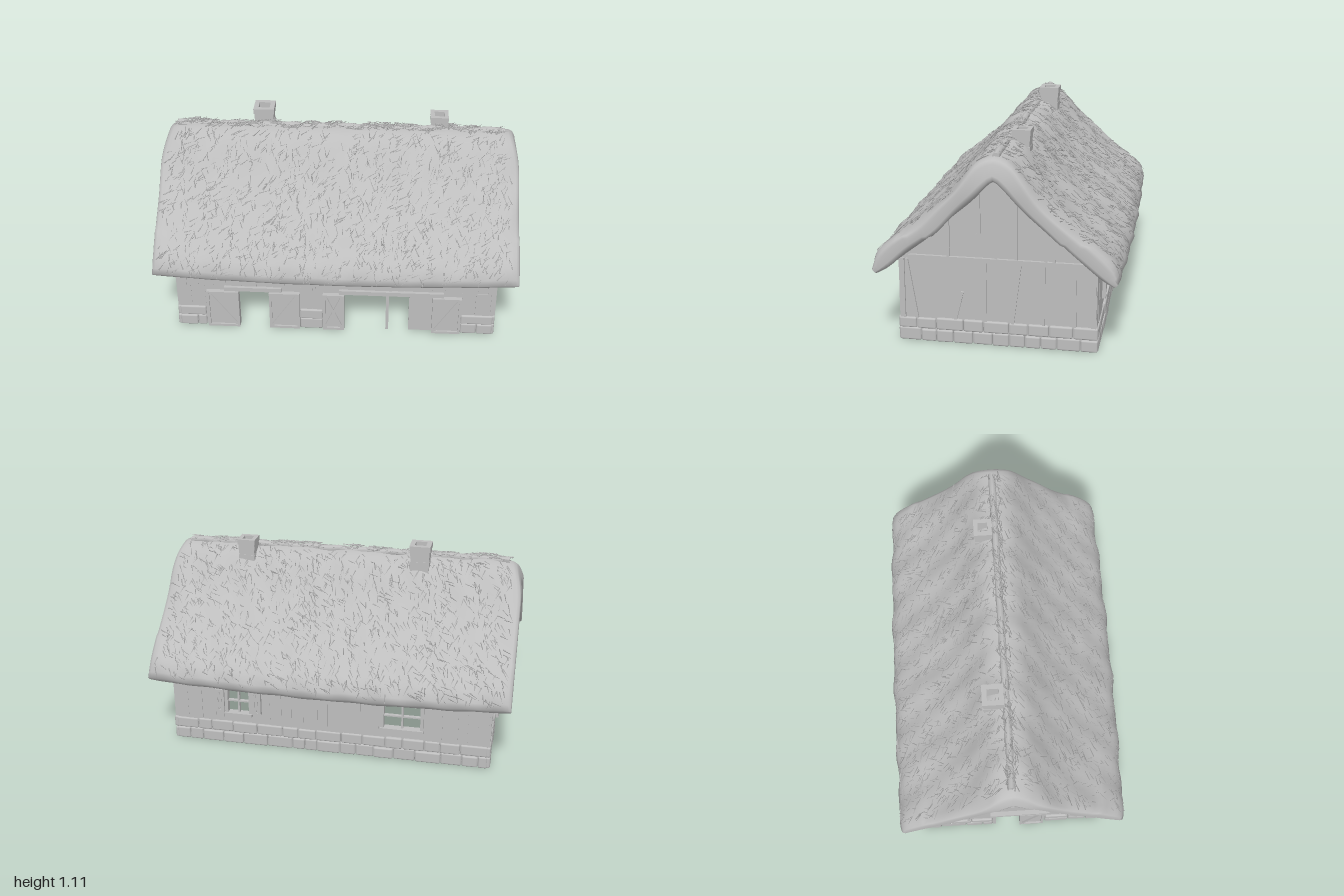
import * as THREE from 'three';
import { mergeGeometries } from 'three/addons/utils/BufferGeometryUtils.js';
import { RoundedBoxGeometry } from 'three/addons/geometries/RoundedBoxGeometry.js';

const plain = new THREE.MeshStandardMaterial({ name: 'plainGrey', color: 0xbebebe, side: THREE.DoubleSide });

let seed = 7;
const rnd = (a = 0, b = 1) => {
  seed = (seed * 16807) % 2147483647;
  return a + (b - a) * (seed / 2147483647);
};

function add(parent, name, geo, x = 0, y = 0, z = 0, rz = 0) {
  const m = new THREE.Mesh(geo, plain);
  m.name = name;
  m.position.set(x, y, z);
  m.rotation.z = rz;
  parent.add(m);
  return m;
}
// Box given by its x and y limits and its z limits
const slab = (p, name, x0, x1, y0, y1, z0, z1) =>
  add(p, name, new THREE.BoxGeometry(x1 - x0, y1 - y0, z1 - z0), (x0 + x1) / 2, (y0 + y1) / 2, (z0 + z1) / 2);
// Timber running between two points of a wall face
function strut(p, name, x0, y0, x1, y1, w = 0.014, z = 0.004, d = 0.012) {
  const len = Math.hypot(x1 - x0, y1 - y0);
  add(p, name, new THREE.BoxGeometry(len, w, d), (x0 + x1) / 2, (y0 + y1) / 2, z, Math.atan2(y1 - y0, x1 - x0));
}

// Wall face: x along the wall, z outward, outer surface at z = 0
function wall(root, name, outline, holes, x, z, ry) {
  const g = new THREE.Group();
  g.name = name;
  g.position.set(x, 0, z);
  g.rotation.y = ry;
  const shape = new THREE.Shape(outline.map(p => new THREE.Vector2(...p)));
  for (const [x0, x1, y0, y1] of holes)
    shape.holes.push(new THREE.Path([[x0, y0], [x0, y1], [x1, y1], [x1, y0]].map(p => new THREE.Vector2(...p))));
  add(g, name + 'Panel', new THREE.ExtrudeGeometry(shape, { depth: 0.02, bevelEnabled: false }), 0, 0, -0.02);
  root.add(g);
  return g;
}

// Two uneven courses of rounded stones
function stones(p, x0, x1) {
  const parts = [];
  for (const [y0, y1] of [[0.004, 0.072], [0.072, 0.135]]) {
    let x = x0;
    while (x < x1 - 0.001) {
      let w = rnd(0.07, 0.15);
      if (x + w > x1 - 0.05) w = x1 - x;
      const h = y1 - y0 + rnd(-0.005, 0.003);
      parts.push(new RoundedBoxGeometry(w - 0.003, h, 0.03, 2, 0.009)
        .translate(x + w / 2, y0 + h / 2, rnd(-0.005, 0)));
      x += w;
    }
  }
  add(p, 'stoneFooting', mergeGeometries(parts));
}

// Vertical boards of slightly different depth
function boards(p, x0, x1, y0, y1) {
  for (let x = x0; x < x1 - 0.01;) {
    const e = Math.min(x + rnd(0.05, 0.1), x1);
    slab(p, 'board', x + 0.002, e, y0, y1, -0.005, rnd(0.001, 0.006));
    x = e;
  }
}

// Framed leaf with one or two diagonal braces
function leaf(p, name, x0, x1, y0, y1, dir, z = 0.008) {
  const g = new THREE.Group();
  g.name = name;
  p.add(g);
  slab(g, 'leafPanel', x0, x1, y0, y1, z - 0.008, z + 0.008);
  const f = 0.014, a = z + 0.006, b = z + 0.018;
  slab(g, 'leafRail', x0, x1, y0, y0 + f, a, b);
  slab(g, 'leafRail', x0, x1, y1 - f, y1, a, b);
  slab(g, 'leafStile', x0, x0 + f, y0, y1, a, b);
  slab(g, 'leafStile', x1 - f, x1, y0, y1, a, b);
  if (dir !== -1) strut(g, 'leafBrace', x0 + f, y0 + f, x1 - f, y1 - f, f, z + 0.011);
  if (dir !== 1) strut(g, 'leafBrace', x0 + f, y1 - f, x1 - f, y0 + f, f, z + 0.011);
}

// Framed window with bars
function windowFrame(p, x0, x1, y0, y1) {
  const f = 0.018;
  slab(p, 'windowSill', x0 - f, x1 + f, y0 - f, y0, -0.02, 0.025);
  slab(p, 'windowLintel', x0 - f, x1 + f, y1, y1 + f, -0.02, 0.02);
  for (const x of [x0 - f, x1]) slab(p, 'windowJamb', x, x + f, y0, y1, -0.02, 0.015);
  slab(p, 'windowBar', (x0 + x1) / 2 - 0.005, (x0 + x1) / 2 + 0.005, y0, y1, -0.015, 0.005);
  slab(p, 'windowBar', x0, x1, (y0 + y1) / 2 - 0.004, (y0 + y1) / 2 + 0.004, -0.015, 0.005);
}

// Thatch cross-section curves, from the front eave over the ridge to the back eave
const arch = half => new THREE.CatmullRomCurve3([
  ...half.slice(1).reverse().map(([z, y]) => new THREE.Vector3(0, y, z)),
  ...half.map(([z, y]) => new THREE.Vector3(0, y, -z))]);
const outer = arch([[0, 1.025], [0.08, 1.0], [0.15, 0.93], [0.24, 0.825], [0.4, 0.675], [0.53, 0.57], [0.615, 0.485], [0.64, 0.415]]);
const inner = arch([[0, 0.9], [0.04, 0.875], [0.2, 0.72], [0.35, 0.575], [0.46, 0.485], [0.55, 0.415], [0.61, 0.385]]);

// Sag, taper at the ridge ends and lumps of the thatch
function shapeThatch(p) {
  const mid = 1 - p.x * p.x;
  const lump = 0.004 * Math.sin(p.x * 17 + p.y * 9) + 0.003 * Math.sin(p.x * 31 - p.y * 23 + p.z * 5);
  const ridge = Math.max(0, (p.y - 0.85) / 0.18);
  p.x *= 1 - 0.05 * ridge * ridge;
  p.z *= 0.975 + 0.03 * mid;
  p.z += Math.sign(p.z) * lump;
  p.y += lump + (p.y < 0.6 ? 0.012 - 0.018 * mid : 0);
  return p;
}

function thatchGeometry() {
  const N = 56, o = outer.getSpacedPoints(N), n = inner.getSpacedPoints(N);
  const ends = [[0.99, 0.6], [0.985, 0.32], [0.97, 0.14], [0.94, 0.03]];
  const rings = ends.map(([x, e]) => [-x, e]);
  for (let i = -22; i <= 22; i++) rings.push([i / 22 * 0.9, 0]);
  rings.push(...ends.slice().reverse());
  const pos = [], idx = [], M = 2 * (N + 1);
  for (const [x, e] of rings) {
    const out = [], inn = [];
    for (let j = 0; j <= N; j++) {
      const m = o[j].clone().lerp(n[j], 0.5);
      out.push(o[j].clone().lerp(m, e));
      inn.push(n[j].clone().lerp(m, e));
    }
    for (const p of [...out, ...inn.reverse()]) {
      p.x = x;
      pos.push(...shapeThatch(p).toArray());
    }
  }
  for (let i = 0; i < rings.length - 1; i++)
    for (let j = 0; j < M; j++) {
      const a = i * M + j, b = i * M + (j + 1) % M;
      idx.push(a, a + M, b, b, a + M, b + M);
    }
  const L = (rings.length - 1) * M;
  for (let j = 0; j < N; j++) {
    const a = j, b = j + 1, c = M - 1 - j, d = M - 2 - j;
    idx.push(a, b, c, b, d, c, L + a, L + c, L + b, L + b, L + c, L + d);
  }
  const g = new THREE.BufferGeometry();
  g.setAttribute('position', new THREE.Float32BufferAttribute(pos, 3));
  g.setIndex(idx);
  g.computeVertexNormals();
  return g;
}

// Loose straws lying along the slopes, and bristling on the ridge
function strawGeometry(count, v0, v1, xMax, tilt) {
  const parts = [], X = new THREE.Vector3(1, 0, 0);
  for (let i = 0; i < count; i++) {
    const v = rnd(v0, v1), p = outer.getPointAt(v), t = outer.getTangentAt(v);
    const normal = X.clone().cross(t), a = rnd(-0.9, 0.9) + tilt;
    const dir = t.clone().multiplyScalar(Math.cos(a)).addScaledVector(X, Math.sin(a)).addScaledVector(normal, 0.06);
    p.x = rnd(-xMax, xMax);
    shapeThatch(p).addScaledVector(normal, 0.001);
    const q = new THREE.Quaternion().setFromUnitVectors(new THREE.Vector3(0, 1, 0), dir.normalize());
    parts.push(new THREE.ConeGeometry(0.004, rnd(0.03, 0.07), 3, 1, true).applyQuaternion(q).translate(p.x, p.y, p.z));
  }
  return mergeGeometries(parts);
}

// Hollow chimney of brick courses with a wider cap
function chimney(root, x, z, w, top) {
  const g = new THREE.Group();
  g.name = 'chimney';
  root.add(g);
  const tube = (name, s, y0, y1) => {
    const sq = h => [[-h, -h], [h, -h], [h, h], [-h, h]].map(p => new THREE.Vector2(...p));
    const shape = new THREE.Shape(sq(s / 2));
    shape.holes.push(new THREE.Path(sq(w * 0.27)));
    const geo = new THREE.ExtrudeGeometry(shape, { depth: y1 - y0, bevelEnabled: false }).rotateX(-Math.PI / 2);
    add(g, name, geo, x, y0, z);
  };
  for (let i = 0; i < 6; i++) tube('chimneyCourse', w * (i % 2 ? 0.88 : 0.92), top - 0.03 - (i + 1) * 0.03, top - 0.03 - i * 0.03);
  tube('chimneyCap', w, top - 0.03, top);
}

export function createModel() {
  const root = new THREE.Group();
  root.name = 'thatchedBarn';

  // Front wall with a small and a wide doorway
  const front = wall(root, 'frontWall', [[-0.88, 0.01], [-0.54, 0.01], [-0.54, 0.25], [-0.37, 0.25], [-0.37, 0.01], [0.05, 0.01],
    [0.05, 0.255], [0.41, 0.255], [0.41, 0.01], [0.88, 0.01], [0.88, 0.47], [-0.88, 0.47]], [], 0, 0.51, 0);
  boards(front, -0.88, 0.88, 0.28, 0.46);
  for (const [a, b] of [[-0.88, -0.73], [-0.2, -0.07], [0.7, 0.88]]) {
    boards(front, a, b, 0.13, 0.28);
    stones(front, a, b);
  }
  leaf(front, 'doorLeaf', -0.72, -0.54, 0.01, 0.25, -1);
  leaf(front, 'doorLeaf', -0.37, -0.2, 0.01, 0.25, 1);
  leaf(front, 'doorLeaf', -0.07, 0.05, 0.01, 0.25, 0);
  leaf(front, 'doorLeaf', 0.54, 0.7, 0.01, 0.25, 1);
  slab(front, 'doorPost', 0.282, 0.298, 0.01, 0.26, -0.02, 0.004);
  slab(front, 'doorLintel', -0.62, -0.3, 0.255, 0.28, -0.02, 0.02);
  slab(front, 'doorLintel', 0.02, 0.6, 0.255, 0.28, -0.02, 0.02);

  // Back wall with two windows
  const back = wall(root, 'backWall', [[-0.88, 0.01], [0.88, 0.01], [0.88, 0.47], [-0.88, 0.47]],
    [[-0.57, -0.45, 0.2, 0.34], [0.31, 0.51, 0.2, 0.34]], 0, -0.51, Math.PI);
  stones(back, -0.88, 0.88);
  for (const [a, b] of [[-0.88, -0.6], [-0.42, 0.28], [0.54, 0.88]]) boards(back, a, b, 0.13, 0.46);
  windowFrame(back, -0.57, -0.45, 0.2, 0.34);
  windowFrame(back, 0.31, 0.51, 0.2, 0.34);
  leaf(back, 'shutter', -0.64, -0.59, 0.2, 0.34, 0, 0.004);
  leaf(back, 'shutter', -0.43, -0.38, 0.2, 0.34, 0, 0.004);

  // Gable ends
  const gable = [[0.51, 0.01], [0.51, 0.46], [0.05, 0.89], [-0.05, 0.89], [-0.51, 0.46], [-0.51, 0.01]];
  const right = wall(root, 'rightGable', gable, [], 0.88, 0, Math.PI / 2);
  const left = wall(root, 'leftGable', [...gable, [-0.09, 0.01], [-0.09, 0.27], [0.05, 0.27], [0.05, 0.01]], [], -0.88, 0, -Math.PI / 2);
  for (const g of [right, left]) {
    slab(g, 'tieBeam', -0.46, 0.46, 0.455, 0.48, -0.01, 0.015);
    strut(g, 'gableBrace', 0, 0.48, -0.1, 0.61);
    for (const [x, y0, y1] of [[-0.09, 0.61, 0.84], [0.1, 0.48, 0.83], [0.25, 0.48, 0.69], [0.29, 0.48, 0.65], [-0.25, 0.48, 0.69]])
      strut(g, 'gablePost', x, y0, x, y1, 0.016);
    for (const s of [-1, 1]) {
      strut(g, 'rafter', s * 0.03, 0.88, s * 0.47, 0.475, 0.018);
      strut(g, 'cornerPost', s * 0.495, 0.13, s * 0.495, 0.455, 0.025);
    }
  }
  stones(right, -0.52, 0.52);
  for (const x of [-0.06, 0.24, 0.4]) strut(right, 'wallPost', x, 0.13, x, 0.455);
  strut(right, 'wallBrace', 0.08, 0.13, 0.12, 0.455);
  strut(right, 'wallBrace', -0.42, 0.13, -0.47, 0.455);
  strut(right, 'wallBrace', -0.22, 0.13, -0.18, 0.29);
  stones(left, -0.52, -0.11);
  stones(left, 0.2, 0.52);
  leaf(left, 'sideDoorLeaf', 0.05, 0.19, 0.01, 0.27, 1);
  slab(left, 'sideDoorLintel', -0.12, 0.22, 0.275, 0.3, -0.02, 0.025);
  slab(left, 'sideDoorJamb', -0.11, -0.09, 0.01, 0.275, -0.02, 0.012);
  for (const x of [-0.4, -0.25, 0.36]) strut(left, 'wallPost', x, 0.13, x, 0.455);

  // Thatched roof
  add(root, 'thatch', thatchGeometry());
  add(root, 'looseStraw', strawGeometry(1500, 0.01, 0.47, 0.95, 0.4));
  add(root, 'looseStraw', strawGeometry(1500, 0.53, 0.99, 0.95, -0.4));
  const roll = new THREE.CylinderGeometry(0.02, 0.02, 1.82, 8, 40).rotateZ(Math.PI / 2);
  const rp = roll.attributes.position;
  for (let i = 0; i < rp.count; i++) rp.setY(i, rp.getY(i) + 0.004 * Math.sin(rp.getX(i) * 40));
  roll.computeVertexNormals();
  add(root, 'ridgeRoll', roll, 0, 1.022, -0.005);
  add(root, 'ridgeStraw', strawGeometry(400, 0.48, 0.52, 0.95, 1.3), 0, 0.015, 0);

  chimney(root, -0.43, -0.075, 0.115, 1.11);
  chimney(root, 0.55, -0.075, 0.1, 1.08);
  return root;
}
